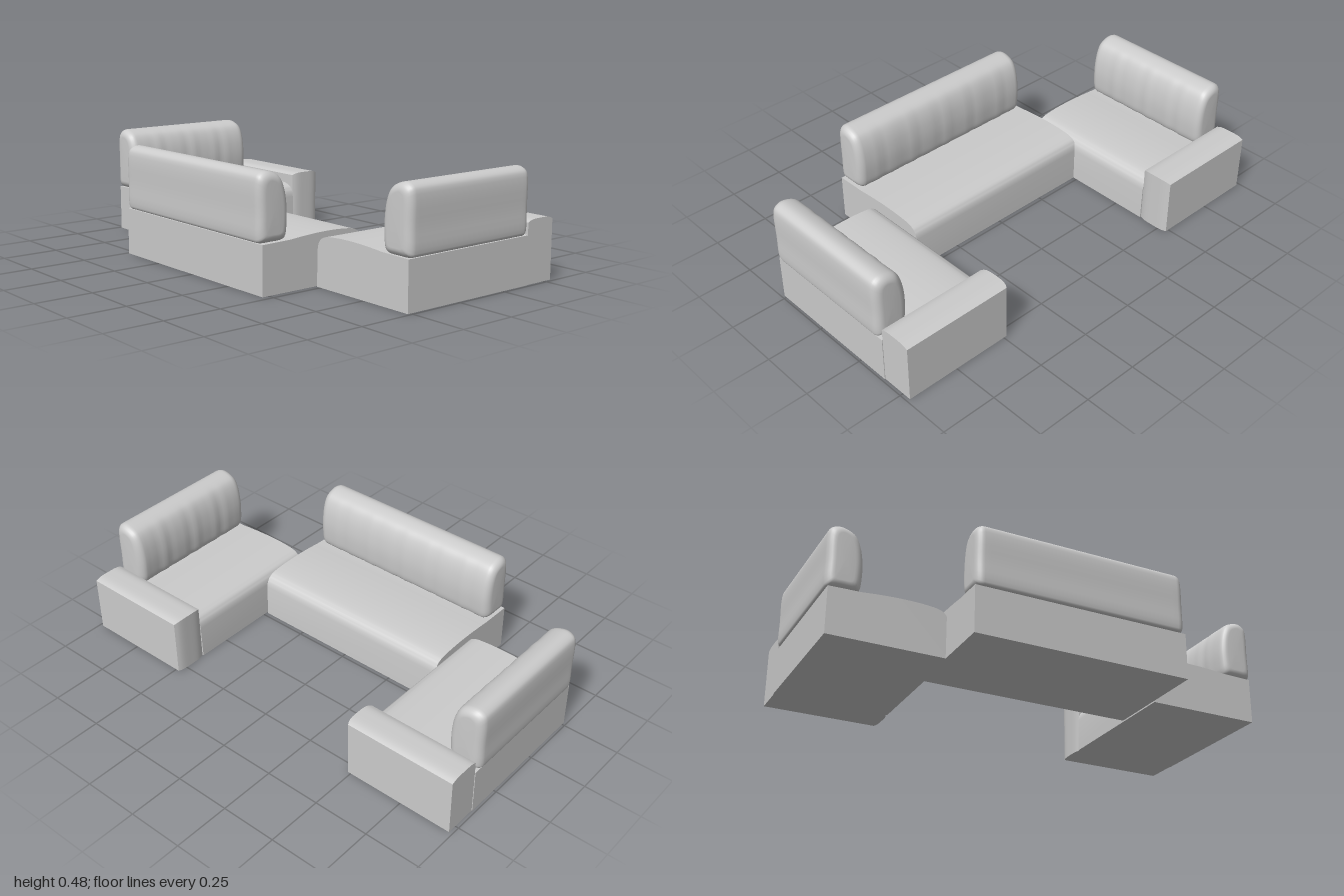
import * as THREE from 'three';
import { toCreasedNormals } from 'three/addons/utils/BufferGeometryUtils.js';

const material = new THREE.MeshStandardMaterial({ color: 0xcccccc });

function part(name, geometry) {
  const mesh = new THREE.Mesh(geometry, material);
  mesh.name = name;
  return mesh;
}

// Seat block: side profile (depth, height) with a soft inner edge, run along x
function seatGeometry(length) {
  const shape = new THREE.Shape();
  shape.moveTo(-0.02, 0);
  shape.lineTo(-0.023, 0.15);
  shape.bezierCurveTo(-0.027, 0.195, -0.05, 0.207, -0.09, 0.212);
  shape.bezierCurveTo(-0.17, 0.221, -0.28, 0.218, -0.39, 0.207);
  shape.lineTo(-0.53, 0.204);
  shape.lineTo(-0.53, 0);
  const geo = new THREE.ExtrudeGeometry(shape, { depth: length, bevelEnabled: false, curveSegments: 10 });
  geo.translate(0, 0, -length / 2);
  geo.rotateY(Math.PI / 2); // run along x, profile depth onto +z
  return toCreasedNormals(geo, 0.5);
}

// Back cushion: plump cross-section (z, y) lofted along x with rounded ends
function cushionGeometry(length) {
  const outline = [
    [0.41, 0.207], [0.47, 0.203], [0.53, 0.207], [0.538, 0.22], [0.539, 0.32], [0.539, 0.44],
    [0.53, 0.467], [0.5, 0.482], [0.455, 0.474], [0.425, 0.455], [0.403, 0.41],
    [0.391, 0.34], [0.391, 0.27], [0.398, 0.22],
  ].map(([z, y]) => new THREE.Vector3(z, y, 0));
  const ring = new THREE.CatmullRomCurve3(outline, true, 'centripetal').getPoints(56).slice(0, -1);
  const n = ring.length, r = 0.035, cz = 0.465, cy = 0.335;

  // Stations along the length: [x, inset of the section]
  const stations = [];
  for (let i = 0; i <= 6; i++) {
    const a = (i / 6) * Math.PI / 2;
    stations.push([-length / 2 + r * (1 - Math.sin(a)), r * (1 - Math.cos(Math.PI / 2 - a))]);
  }
  const start = stations.map(([x], i) => [x, r * (1 - Math.sin((i / 6) * Math.PI / 2))]);
  start.forEach((s, i) => { s[0] = -length / 2 + r * (1 - Math.cos((i / 6) * Math.PI / 2)); });
  const rings = [...start];
  for (let i = 1; i < 36; i++) rings.push([(length / 2 - r) * (i / 18 - 1), 0]);
  rings.push(...start.map(([x, s]) => [-x, s]).reverse());

  const pos = [], idx = [];
  for (const [x, inset] of rings) {
    // Slight wrinkles on the inner face
    const wave = 0.0015 * Math.sin(x * 61) + 0.001 * Math.sin(x * 97);
    for (const p of ring) {
      const z = cz + (p.x - cz) * (1 - inset / 0.075);
      const y = cy + (p.y - cy) * (1 - inset / 0.14);
      pos.push(x, y, z + (p.x < cz ? wave * (cz - p.x) / 0.075 : 0));
    }
  }
  for (let i = 0; i < rings.length - 1; i++) {
    for (let j = 0; j < n; j++) {
      const a = i * n + j, b = i * n + (j + 1) % n;
      idx.push(a, a + n, b, b, a + n, b + n);
    }
  }
  // End caps
  const last = (rings.length - 1) * n, c = rings.length * n;
  pos.push(-length / 2 - 0.002, cy, cz, length / 2 + 0.002, cy, cz);
  for (let j = 0; j < n; j++) {
    const k = (j + 1) % n;
    idx.push(c, j, k, c + 1, last + k, last + j);
  }
  const geo = new THREE.BufferGeometry();
  geo.setAttribute('position', new THREE.Float32BufferAttribute(pos, 3));
  geo.setIndex(idx);
  geo.computeVertexNormals();
  return geo;
}

// Low arm block with a crowned top and a softly bowed inner end
function armGeometry(side) {
  const geo = new THREE.BoxGeometry(0.5, 0.254, 0.146, 1, 1, 12);
  const p = geo.attributes.position;
  for (let i = 0; i < p.count; i++) {
    const s = p.getZ(i) / 0.073;
    const crown = 1 - s ** 4;
    if (p.getY(i) > 0) p.setY(i, p.getY(i) + 0.011 * crown);
    if (p.getX(i) * side < 0) p.setX(i, p.getX(i) - side * 0.01 * crown);
  }
  geo.translate(side * 0.735, 0.127, -0.467);
  return toCreasedNormals(geo, 0.5);
}

export function createModel() {
  const model = new THREE.Group();
  model.name = 'sectionalSofa';

  // Middle section
  const middle = new THREE.Group();
  middle.name = 'middleSection';
  middle.position.x = -0.01;
  middle.add(part('middleSeat', seatGeometry(0.96)), part('middleBackCushion', cushionGeometry(0.955)));
  model.add(middle);

  // Two side sections facing each other, each with an arm at the far end
  for (const [label, side] of [['left', 1], ['right', -1]]) {
    const section = new THREE.Group();
    section.name = label + 'Section';
    const turned = new THREE.Group();
    turned.name = label + 'SeatAndBack';
    turned.rotation.y = side * Math.PI / 2;
    turned.position.set(side * 0.458, 0, -0.065);
    const cushion = part(label + 'BackCushion', cushionGeometry(0.662));
    cushion.position.x = -side * 0.007;
    turned.add(part(label + 'Seat', seatGeometry(0.658)), cushion);
    section.add(turned, part(label + 'Arm', armGeometry(side)));
    model.add(section);
  }
  return model;
}
